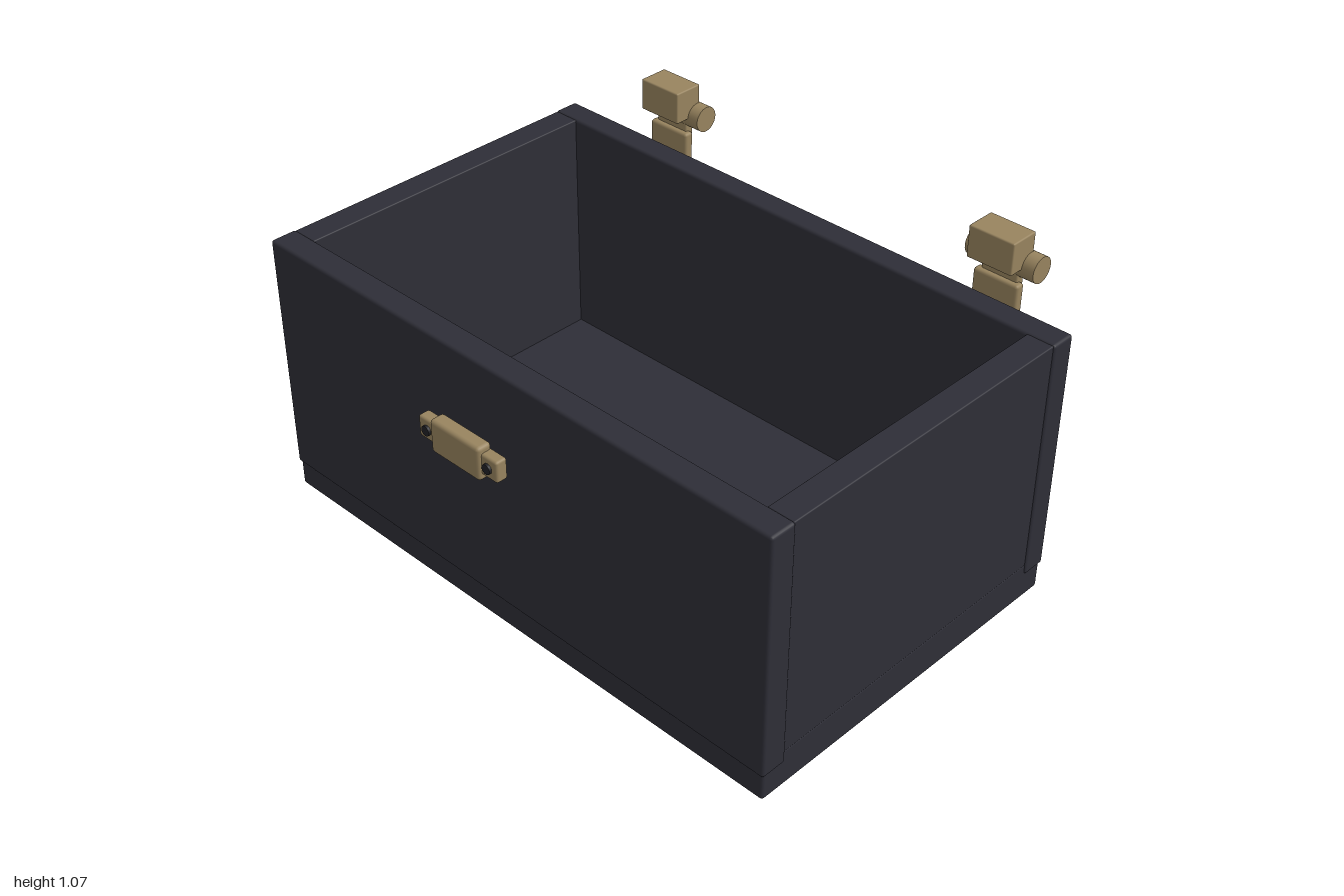
import * as THREE from 'three';
import { RoundedBoxGeometry } from 'three/addons/geometries/RoundedBoxGeometry.js';

const wood = new THREE.MeshStandardMaterial({ color: 0x2e2e37 });
wood.name = 'dark wood';
const brass = new THREE.MeshStandardMaterial({ color: 0x98845f });
brass.name = 'aged brass';
const screwMetal = new THREE.MeshStandardMaterial({ color: 0x222226 });
screwMetal.name = 'dark screw metal';

// Softly rounded block given by its extents on each axis
function block(parent, name, material, [x0, x1], [y0, y1], [z0, z1], radius = 0.01) {
  const geometry = new RoundedBoxGeometry(x1 - x0, y1 - y0, z1 - z0, 2, radius);
  const mesh = new THREE.Mesh(geometry, material);
  mesh.name = name;
  mesh.position.set((x0 + x1) / 2, (y0 + y1) / 2, (z0 + z1) / 2);
  parent.add(mesh);
  return mesh;
}

// Open box: base slab, long panels and the end panels between them
function createBox() {
  const box = new THREE.Group();
  box.name = 'box';
  block(box, 'base', wood, [-0.995, 0.995], [0, 0.13], [-0.602, 0.634]);
  block(box, 'frontPanel', wood, [-1, 1], [0.09, 0.91], [0.55, 0.64]);
  block(box, 'backPanel', wood, [-1, 1], [0.09, 0.91], [-0.609, -0.522]);
  block(box, 'leftPanel', wood, [0.905, 0.995], [0.125, 0.908], [-0.525, 0.553], 0.004);
  block(box, 'rightPanel', wood, [-0.995, -0.905], [0.125, 0.908], [-0.525, 0.553], 0.004);
  return box;
}

// Hinge: arm and lower leaf, pin, neck and upper block
function createHinge(name, x) {
  const hinge = new THREE.Group();
  hinge.name = name;
  hinge.position.x = x;
  block(hinge, 'arm', brass, [-0.074, 0.074], [0.765, 0.815], [-0.715, -0.606], 0.004);
  block(hinge, 'lowerLeaf', brass, [-0.08, 0.08], [0.7, 0.905], [-0.739, -0.705], 0.01);
  block(hinge, 'neck', brass, [-0.064, 0.064], [0.885, 0.95], [-0.755, -0.722], 0.006);
  block(hinge, 'upperBlock', brass, [-0.08, 0.08], [0.958, 1.065], [-0.768, -0.664], 0.005);
  const pin = new THREE.Mesh(new THREE.CylinderGeometry(0.043, 0.043, 0.243, 32), brass);
  pin.name = 'pin';
  pin.rotation.z = Math.PI / 2;
  pin.position.set(0, 0.958, -0.756);
  hinge.add(pin);
  return hinge;
}

// Front latch: raised plate with a screwed ear at each side
function createLatch() {
  const latch = new THREE.Group();
  latch.name = 'latch';
  block(latch, 'latchPlate', brass, [-0.1, 0.1], [0.682, 0.792], [0.75, 0.8], 0.012);
  for (const side of [-1, 1]) {
    const label = side > 0 ? 'left' : 'right';
    const xs = [side * 0.09, side * 0.16].sort((a, b) => a - b);
    block(latch, label + 'Ear', brass, xs, [0.702, 0.772], [0.75, 0.789], 0.008);
    const screw = new THREE.Mesh(new THREE.CylinderGeometry(0.016, 0.016, 0.02, 20), screwMetal);
    screw.name = label + 'Screw';
    screw.rotation.x = Math.PI / 2;
    screw.position.set(side * 0.124, 0.737, 0.787);
    latch.add(screw);
  }
  return latch;
}

export function createModel() {
  const model = new THREE.Group();
  model.name = 'hingedBox';
  model.add(createBox(), createLatch());
  model.add(createHinge('leftHinge', 0.66), createHinge('rightHinge', -0.66));
  return model;
}
